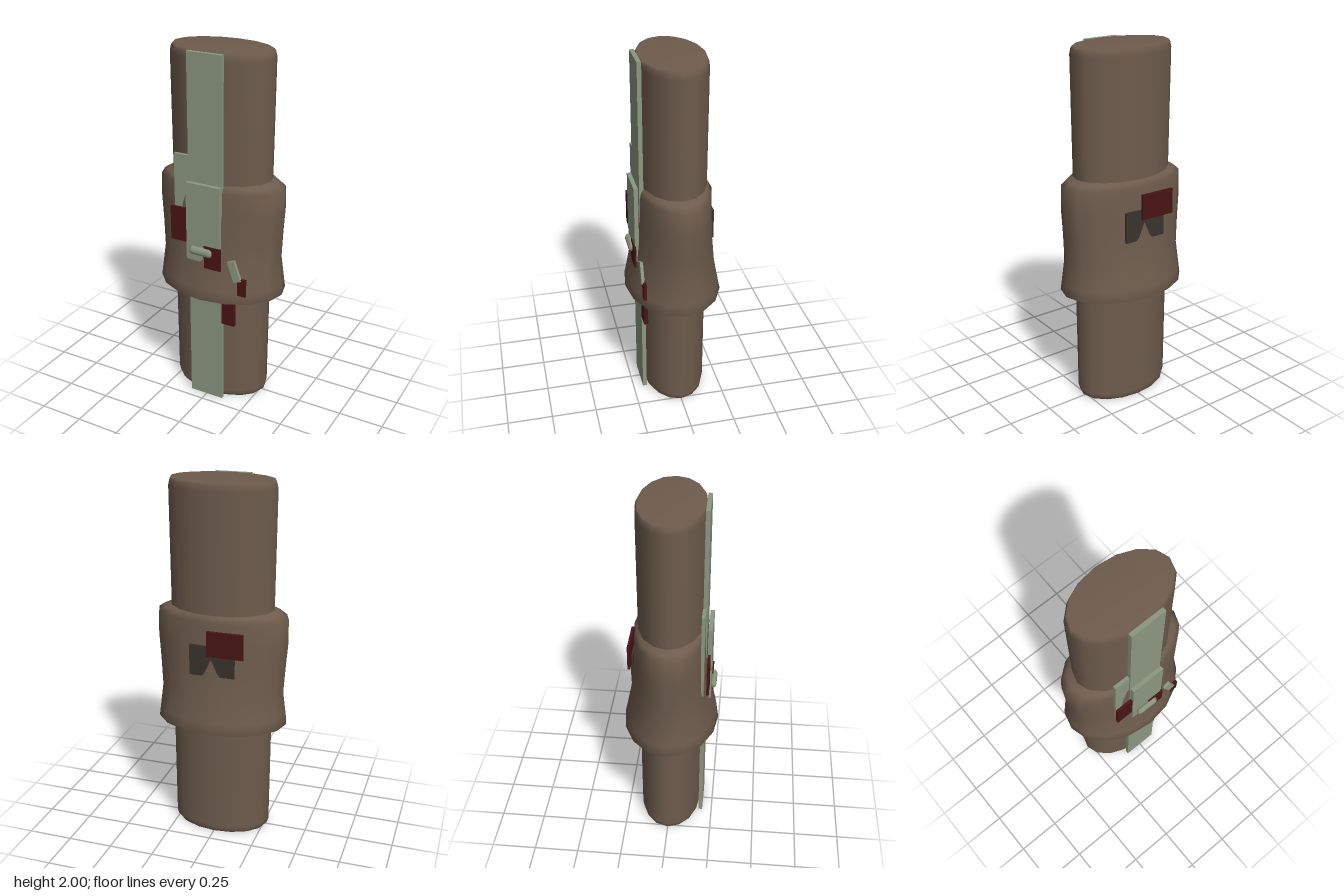
import * as THREE from 'three';

const SIDES = 16;
const paint = (color) => new THREE.MeshStandardMaterial({ color });
const brown = paint(0x6e5c4d), dark = paint(0x3a332b), green = paint(0x8c9880), red = paint(0x4a1515);

// Smooth elliptical loft through rings [y, rx, rz], listed bottom to top
function loft(rings) {
  const pos = [], index = [];
  rings.forEach(([y, rx, rz], r) => {
    for (let i = 0; i < SIDES; i++) {
      const a = (i / SIDES) * Math.PI * 2;
      pos.push(Math.sin(a) * rx, y, Math.cos(a) * rz);
      if (r === 0) continue;
      const j = (i + 1) % SIDES, lo = (r - 1) * SIDES, hi = r * SIDES;
      index.push(lo + i, lo + j, hi + j, lo + i, hi + j, hi + i);
    }
  });
  const g = new THREE.BufferGeometry();
  g.setAttribute('position', new THREE.Float32BufferAttribute(pos, 3));
  g.setIndex(index);
  g.computeVertexNormals();
  return g;
}

export function createModel() {
  const model = new THREE.Group();
  model.name = 'strappedLimb';

  const add = (name, geometry, material) => {
    const mesh = new THREE.Mesh(geometry, material);
    mesh.name = name;
    model.add(mesh);
    return mesh;
  };
  // Box given by its extents on each axis
  const plate = (name, material, [x0, x1], [y0, y1], [z0, z1]) => {
    const mesh = add(name, new THREE.BoxGeometry(x1 - x0, y1 - y0, z1 - z0), material);
    mesh.position.set((x0 + x1) / 2, (y0 + y1) / 2, (z0 + z1) / 2);
    return mesh;
  };

  // Long core with softened ends
  add('core', loft([
    [0, 0, 0], [0, 0.26, 0.165], [0.012, 0.272, 0.173], [0.04, 0.28, 0.177],
    [1.0, 0.287, 0.18], [1.96, 0.295, 0.183], [1.988, 0.288, 0.178], [2, 0.28, 0.172], [2, 0, 0],
  ]), brown);

  // Flared sleeve around the middle
  add('sleeve', loft([
    [0.675, 0.27, 0.17], [0.655, 0.35, 0.245], [0.66, 0.37, 0.267], [0.72, 0.363, 0.254],
    [0.85, 0.348, 0.228], [1.0, 0.358, 0.212], [1.15, 0.37, 0.204],
    [1.275, 0.367, 0.2], [1.3, 0.33, 0.19], [1.315, 0.29, 0.178],
  ]), brown);

  // Pale straps
  plate('longStrap', green, [-0.1, 0.1], [0, 2], [0.172, 0.195]);
  plate('sleeveStrap', green, [-0.1, 0.1], [0.87, 1.315], [0.201, 0.224]);
  plate('sideStrap', green, [-0.19, -0.1], [0.95, 1.45], [0.17, 0.188]);
  plate('smallStrap', green, [0.16, 0.205], [0.79, 0.91], [0.197, 0.214]).rotation.z = 0.35;

  // Toggle lying across the strap
  const toggle = add('toggle', new THREE.CapsuleGeometry(0.018, 0.1, 2, 8), green);
  toggle.rotation.z = Math.PI / 2 - 0.02;
  toggle.scale.x = 1.4;
  toggle.position.set(-0.007, 0.935, 0.234);

  // Red patches
  plate('frontPatchRight', red, [-0.2, -0.1], [0.965, 1.16], [0.203, 0.217]);
  plate('frontPatchMiddle', red, [0.01, 0.11], [0.84, 0.97], [0.219, 0.23]);
  plate('frontPatchLeft', red, [0.2, 0.248], [0.71, 0.81], [0.191, 0.207]);
  plate('lowerPatch', red, [0.1, 0.175], [0.5, 0.7], [0.172, 0.195]);
  plate('backPatch', red, [-0.18, 0.02], [1.095, 1.235], [-0.22, -0.205]);

  // Dark patch half sunk into the back of the sleeve
  plate('sunkenBackPatch', dark, [-0.13, 0.12], [0.98, 1.15], [-0.208, -0.195]);

  return model;
}
